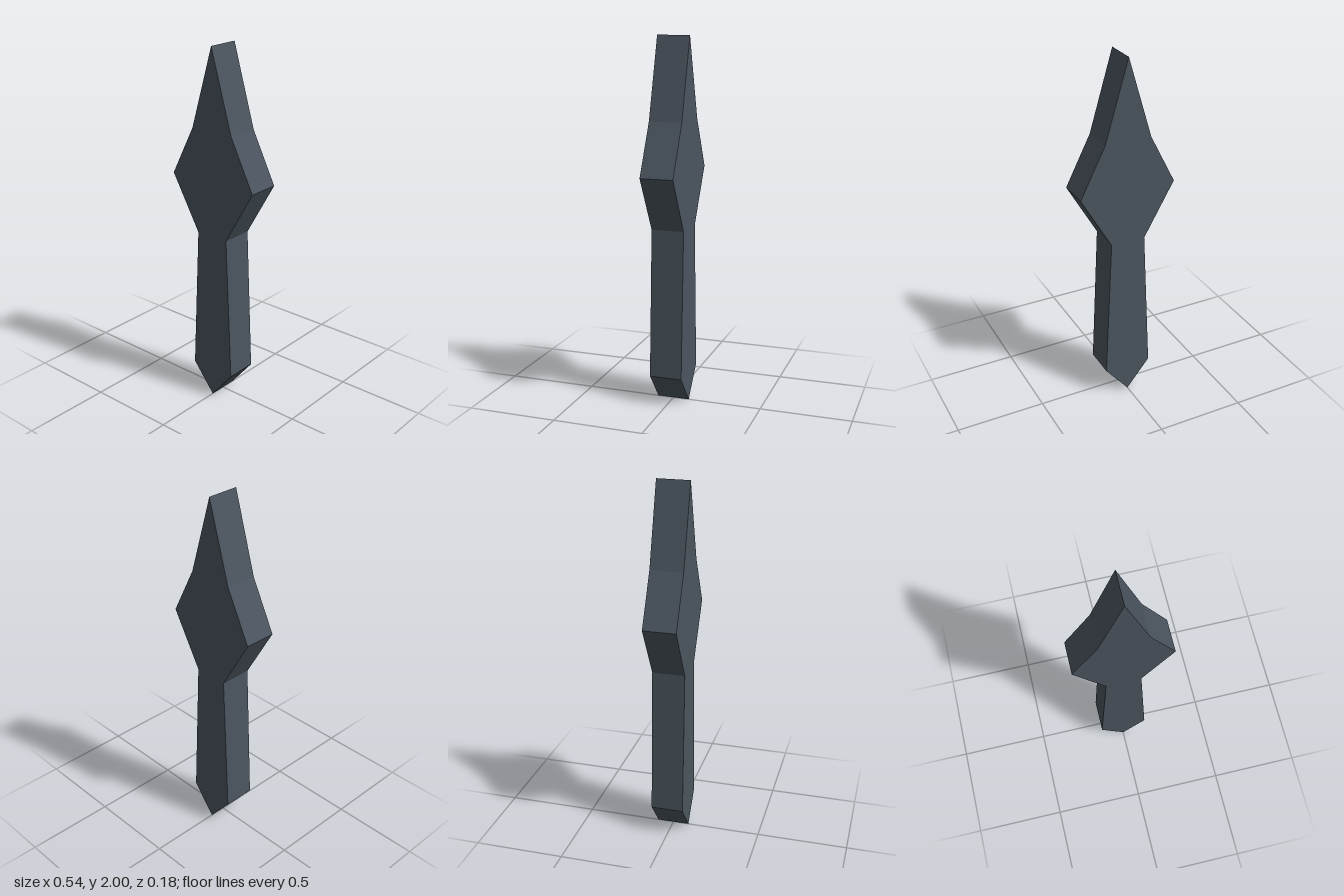
import * as THREE from 'three';

export function createModel() {
  const group = new THREE.Group();
  const slate = new THREE.MeshStandardMaterial({ color: 0x4b555f, flatShading: true });
  slate.name = 'slate grey';

  // Right half of the outline, from the lower point up to the tip
  const half = [[0, 0], [0.135, 0.165], [0.098, 0.98], [0.272, 1.283], [0.131, 1.56], [0, 2]];
  const mirrored = half.slice(1, -1).reverse().map(([x, y]) => [-x, y]);
  const outline = new THREE.Shape([...half, ...mirrored].map(([x, y]) => new THREE.Vector2(x, y)));

  // Flat slab with handle, flared shoulders and pointed blade in one piece
  const depth = 0.18;
  const geometry = new THREE.ExtrudeGeometry(outline, { depth, bevelEnabled: false });
  geometry.translate(0, 0, -depth / 2);
  const blade = new THREE.Mesh(geometry, slate);
  blade.name = 'bladeAndHandle';
  group.add(blade);
  return group;
}
